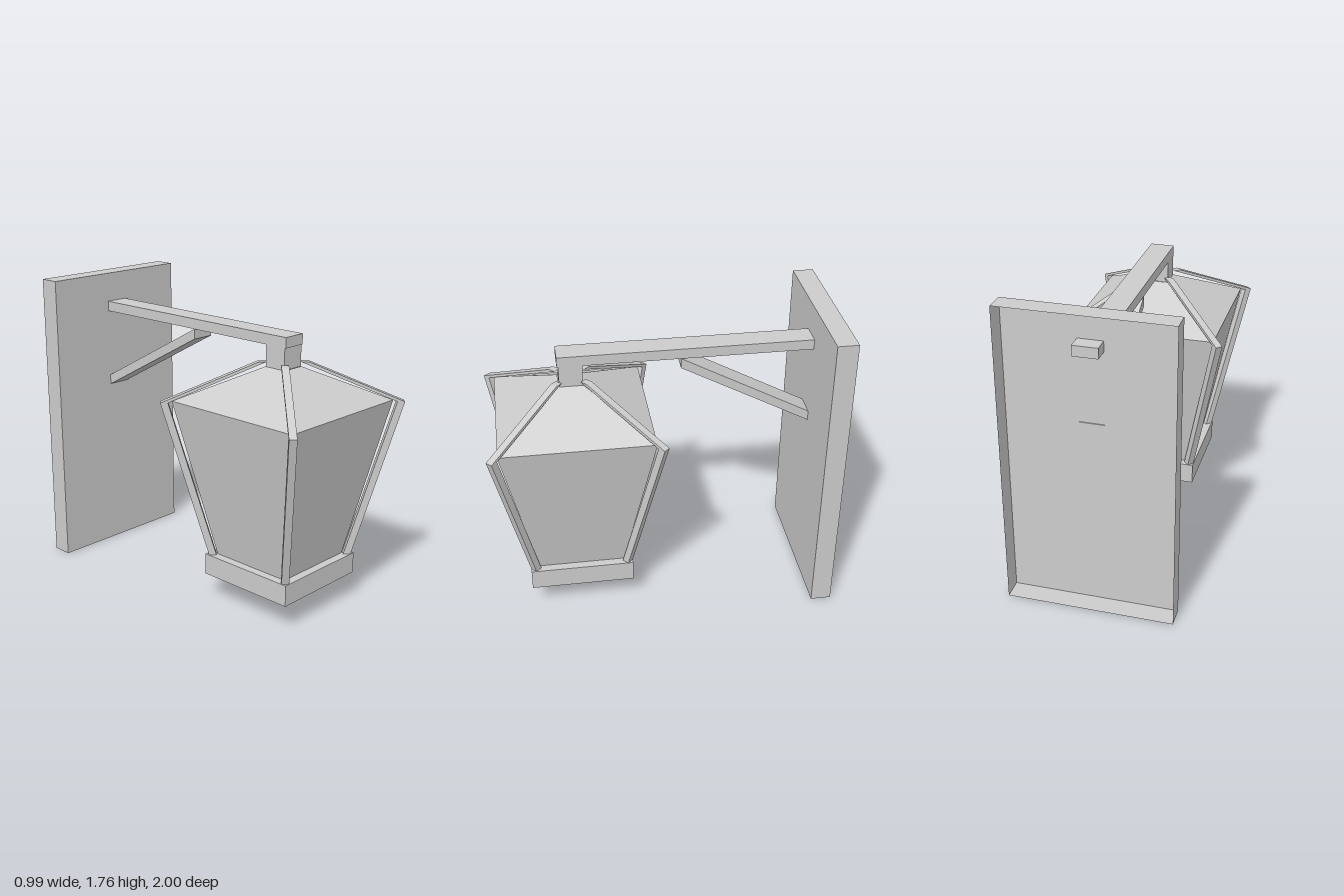
import * as THREE from 'three';

export function createModel() {
  const model = new THREE.Group();
  model.name = 'wallLantern';
  const metal = new THREE.MeshStandardMaterial({ color: 0xcccccc, side: THREE.DoubleSide });
  metal.name = 'grey metal';
  const lanternZ = 0.5;

  const add = (name, geometry, parent = model) => {
    const mesh = new THREE.Mesh(geometry, metal);
    mesh.name = name;
    parent.add(mesh);
    return mesh;
  };

  // Axis-aligned box given by its limits
  const box = (name, [x0, x1], [y0, y1], [z0, z1]) => {
    const g = new THREE.BoxGeometry(x1 - x0, y1 - y0, z1 - z0);
    g.translate((x0 + x1) / 2, (y0 + y1) / 2, (z0 + z1) / 2);
    return add(name, g);
  };

  // Skin through four-sided horizontal sections; each section lists its corners and height
  const loft = (sections, capped) => {
    const pos = [];
    const tri = (a, b, c) => pos.push(...a, ...b, ...c);
    const quad = (a, b, c, d) => { tri(a, b, c); tri(a, c, d); };
    for (let s = 0; s < sections.length - 1; s++) {
      const lo = sections[s], hi = sections[s + 1];
      for (let i = 0; i < 4; i++) {
        const j = (i + 1) % 4;
        quad(lo[i], lo[j], hi[j], hi[i]);
      }
    }
    if (capped) {
      const [a, b, c, d] = sections[0];
      quad(d, c, b, a);
      quad(...sections[sections.length - 1]);
    }
    const g = new THREE.BufferGeometry();
    g.setAttribute('position', new THREE.Float32BufferAttribute(pos, 3));
    g.computeVertexNormals();
    return g;
  };
  const square = (h, y) => [[-h, y, h], [h, y, h], [h, y, -h], [-h, y, -h]];
  const diamond = (c, r, y) => [[c - r, y, c], [c, y, c + r], [c + r, y, c], [c, y, c - r]];

  // Wall plate: a shallow tray open at the back
  const plate = box('wallPlate', [-0.475, 0.475], [0, 1.76], [-1, -0.88]).geometry;
  plate.setIndex(Array.from(plate.index.array).slice(0, 30));
  plate.clearGroups();

  // Arm, with its end passing through the plate
  box('arm', [-0.07, 0.07], [1.525, 1.585], [-0.97, 0.575]);

  // Slanting brace: side outline extruded across its width
  const outline = new THREE.Shape([
    [0.12, 1.525], [0.12, 1.465], [0.883, 1.05], [0.883, 1.11],
  ].map(([x, y]) => new THREE.Vector2(x, y)));
  const brace = new THREE.ExtrudeGeometry(outline, { depth: 0.14, bevelEnabled: false });
  brace.translate(0, 0, -0.07);
  brace.rotateY(Math.PI / 2);
  add('brace', brace);

  // Neck and base of the lantern
  box('neck', [-0.07, 0.07], [1.4, 1.525], [lanternZ - 0.067, lanternZ + 0.067]);
  box('base', [-0.305, 0.305], [0.155, 0.28], [lanternZ - 0.305, lanternZ + 0.305]);

  // Tapered panes and hipped roof
  const lantern = new THREE.Group();
  lantern.name = 'lantern';
  lantern.position.z = lanternZ;
  model.add(lantern);
  add('panes', loft([square(0.255, 0.28), square(0.435, 1.205)], false), lantern);
  add('roof', loft([square(0.435, 1.205), square(0.07, 1.4)], false), lantern);

  // Four corner posts, each with a bar running up to the neck
  const post = loft([diamond(0.275, 0.03, 0.28), diamond(0.465, 0.03, 1.2)], true);
  const bar = loft([diamond(0.465, 0.03, 1.2), diamond(0.083, 0.03, 1.43)], true);
  for (let i = 0; i < 4; i++) {
    const corner = new THREE.Group();
    corner.name = 'cornerFrame' + (i + 1);
    corner.rotation.y = i * Math.PI / 2;
    add('post', post, corner);
    add('roofBar', bar, corner);
    lantern.add(corner);
  }
  return model;
}
